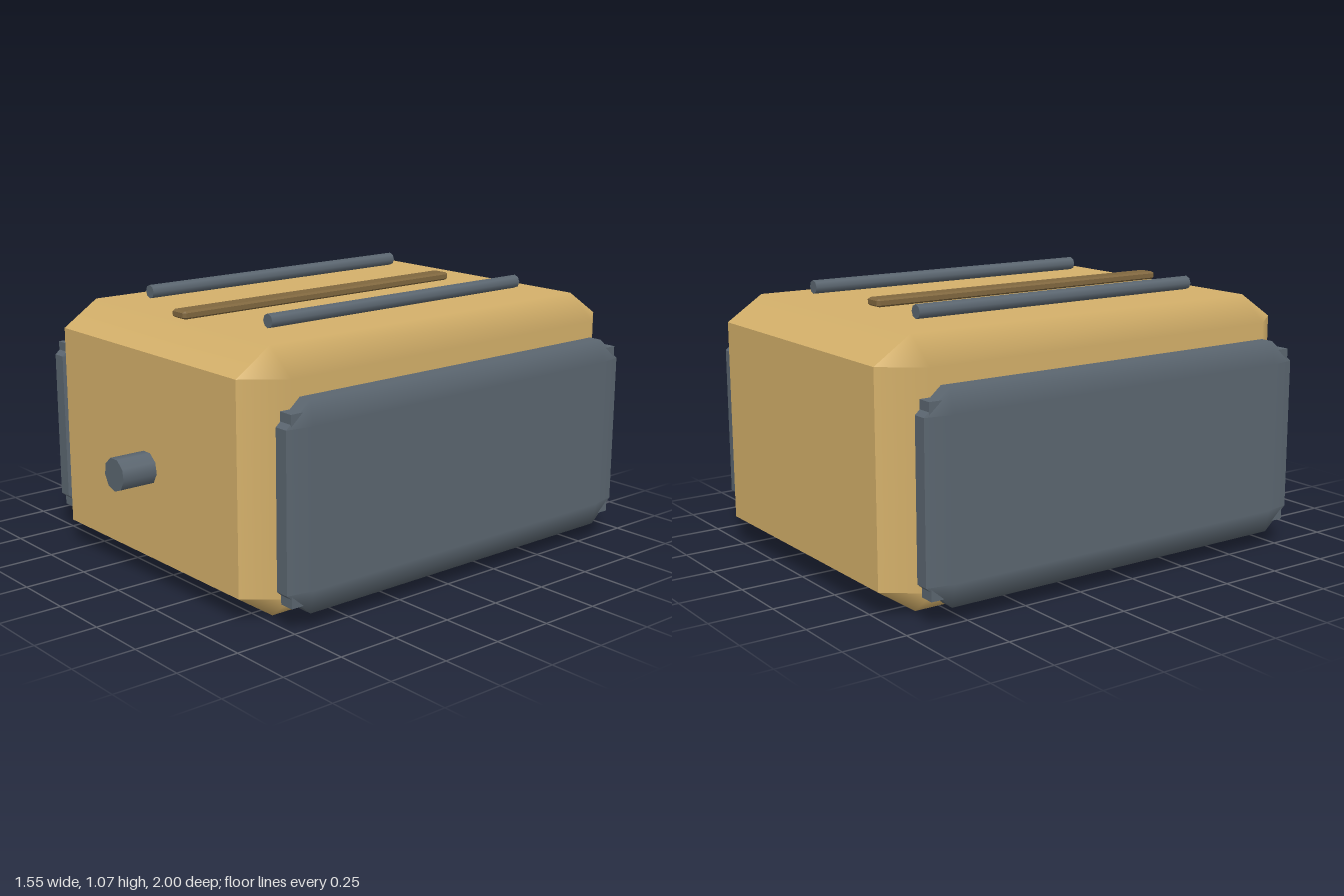
import * as THREE from 'three';
import { ConvexGeometry } from 'three/addons/geometries/ConvexGeometry.js';

const mat = (name, color) => {
  const m = new THREE.MeshStandardMaterial({ color });
  m.name = name;
  return m;
};

// Box with chamfered edges; half sizes h, chamfers c. When soft, chamfers blend
// into the side, top and bottom faces, while the front and back stay crisp.
function chamferBox(h, c, soft = false) {
  const points = [];
  for (const x of [-1, 1]) for (const y of [-1, 1]) for (const z of [-1, 1]) {
    for (let face = 0; face < 3; face++) {
      const p = h.map((v, i) => (i === face ? v : v - c[i]));
      points.push(new THREE.Vector3(p[0] * x, p[1] * y, p[2] * z));
    }
  }
  const geo = new ConvexGeometry(points);
  if (soft) {
    const pos = geo.attributes.position, normal = geo.attributes.normal;
    for (let i = 0; i < pos.count; i++) {
      const x = pos.getX(i), y = pos.getY(i);
      if (Math.abs(x) > h[0] - 1e-4) normal.setXYZ(i, Math.sign(x), 0, 0);
      else if (Math.abs(y) > h[1] - 1e-4) normal.setXYZ(i, 0, Math.sign(y), 0);
    }
  }
  return geo;
}

export function createModel() {
  const group = new THREE.Group();
  const tan = mat('tan shell', 0xd4b06a);
  const grey = mat('slate grey', 0x5b6670);
  const brown = mat('brown trim', 0x80673f);

  const add = (name, geo, material, x, y, z) => {
    const mesh = new THREE.Mesh(geo, material);
    mesh.name = name;
    mesh.position.set(x, y, z);
    group.add(mesh);
    return mesh;
  };

  // Main shell
  add('body', chamferBox([0.685, 0.5, 0.9275], [0.12, 0.1, 0.15], true), tan, 0, 0.5, -0.0725);

  // Raised centre strip on the top
  add('centreStrip', chamferBox([0.042, 0.016, 0.685], [0.01, 0.007, 0.012]), brown, 0, 1.02, 0.015);

  // Front knob
  const knobGeo = new THREE.CylinderGeometry(0.065, 0.065, 0.16, 9).rotateX(Math.PI / 2);
  add('frontKnob', knobGeo, grey, 0, 0.455, 0.92);

  // Side panels with stepped corners, and roof rails
  const panelGeo = chamferBox([0.046, 0.388, 0.858], [0.018, 0.09, 0.105], true);
  const stepGeo = new THREE.BoxGeometry(0.06, 0.7, 1.676);
  const railGeo = new THREE.CylinderGeometry(0.027, 0.027, 1.285, 8).rotateX(Math.PI / 2);
  for (const [side, s] of [['left', 1], ['right', -1]]) {
    add(side + 'Panel', panelGeo, grey, s * 0.731, 0.452, -0.067);
    add(side + 'PanelCorners', stepGeo, grey, s * 0.731, 0.452, -0.067);
    add(side + 'Rail', railGeo, grey, s * 0.38, 1.038, -0.072);
  }
  return group;
}
